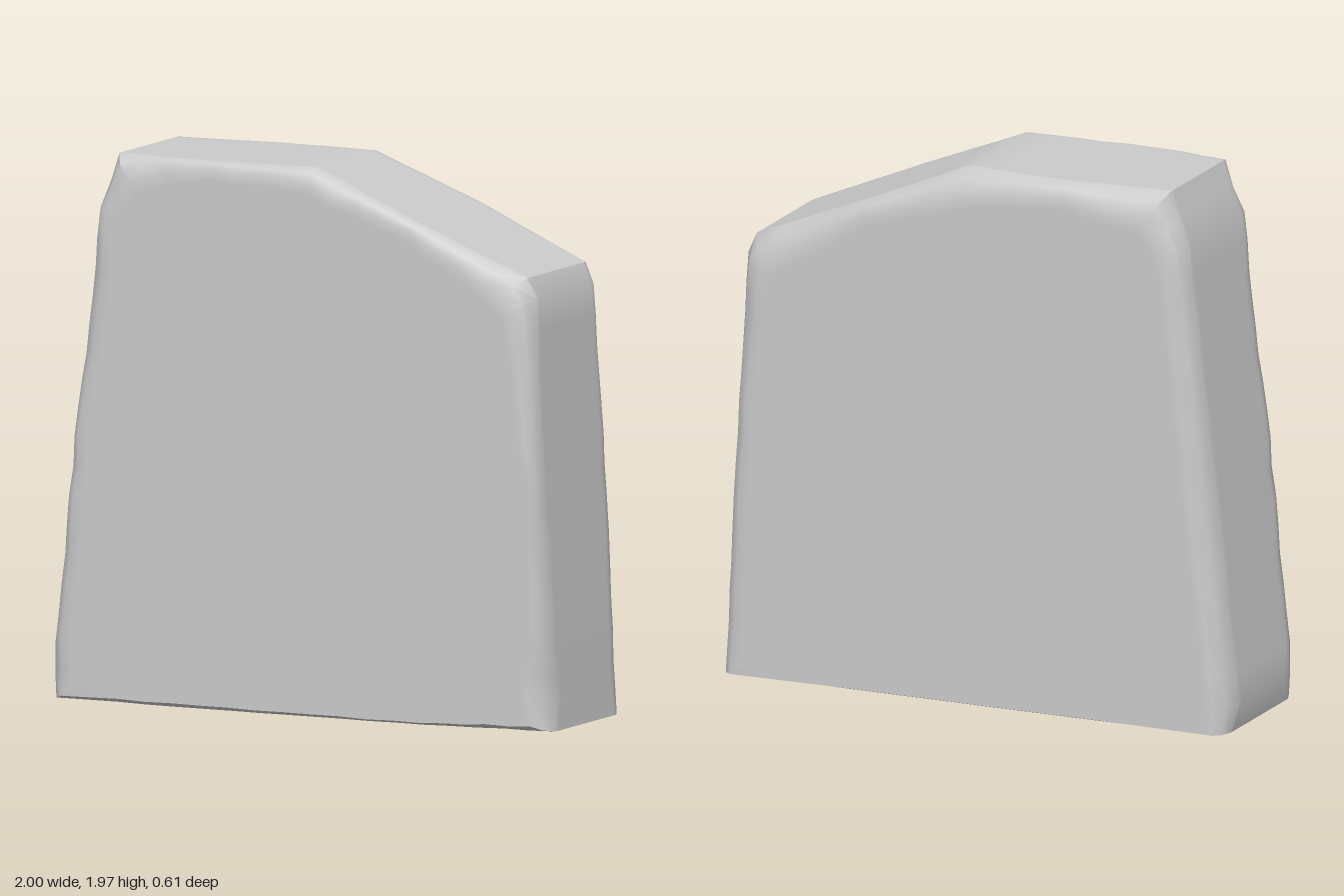
import * as THREE from 'three';
import { toCreasedNormals } from 'three/addons/utils/BufferGeometryUtils.js';

const HALF = 0.303; // half thickness of the slab

// Outline corners, counter-clockwise: x, y,
// front bevel (dx, dy, depth), back bevel (dx, dy, depth)
const CORNERS = [
  [-0.98, 0, 0.05, 0.02, 0.07, 0.04, 0, 0.06],
  [-0.5, 0, 0, 0.015, 0.03, 0, 0.003, 0.01],
  [0.5, 0, 0, 0.008, 0.02, 0, 0.003, 0.01],
  [0.995, 0, -0.07, 0.025, 0.08, -0.04, 0, 0.06],
  [0.985, 0.3, -0.05, 0, 0.09, -0.05, 0, 0.07],
  [0.955, 0.9, -0.03, 0, 0.06, -0.05, 0, 0.07],
  [0.92, 1.55, -0.06, -0.04, 0.07, -0.08, -0.05, 0.08],
  [0.885, 1.625, -0.07, -0.07, 0.06, -0.08, -0.09, 0.07],
  [0.45, 1.808, -0.01, -0.03, 0.03, -0.02, -0.05, 0.04],
  [0.05, 1.973, -0.01, -0.06, 0.06, -0.01, -0.09, 0.07],
  [-0.35, 1.973, 0, -0.02, 0.03, 0, -0.06, 0.05],
  [-0.74, 1.973, 0.06, -0.08, 0.06, 0.07, -0.1, 0.07],
  [-0.81, 1.78, 0.06, -0.03, 0.08, 0.07, -0.03, 0.08],
  [-0.905, 0.95, 0.04, 0, 0.07, 0.06, 0, 0.08],
  [-1, 0.1, 0.06, 0.01, 0.09, 0.06, 0, 0.09],
];

// Subdivides the outline and roughens the bevel sizes like worn stone
function sampleOutline() {
  let seed = 7;
  const random = () => (seed = (seed * 16807) % 2147483647) / 2147483647;
  const points = [];
  CORNERS.forEach((a, i) => {
    const b = CORNERS[(i + 1) % CORNERS.length];
    const n = Math.max(1, Math.round(Math.hypot(b[0] - a[0], b[1] - a[1]) / 0.11));
    for (let k = 0; k < n; k++) {
      const p = a.map((v, j) => v + (b[j] - v) * k / n);
      const front = 0.8 + 0.4 * random();
      const back = 0.9 + 0.2 * random();
      for (let j = 2; j < 5; j++) p[j] *= front;
      for (let j = 5; j < 8; j++) p[j] *= back;
      points.push(p);
    }
  });
  return points;
}

// Half of the rings: flat face border, face edge, rounded bevel, wall
function bevelRings(outline, side) {
  const o = side > 0 ? 2 : 5;
  const ring = (inset, drop, scale = 1) => outline.map((p) => [
    (p[0] + p[o] * inset) * scale,
    0.9 + (p[1] + p[o + 1] * inset - 0.9) * scale,
    side * (HALF - p[o + 2] * drop),
  ]);
  return [ring(1, 0, 0.96), ring(1, 0), ring(0.37, 0.3), ring(0, 1), ring(0, 1.3)];
}

function slabGeometry() {
  const outline = sampleOutline();
  const n = outline.length;
  const rings = [...bevelRings(outline, 1), ...bevelRings(outline, -1).reverse()];
  const positions = rings.flat(2);
  const index = [];
  for (let r = 0; r < rings.length - 1; r++) {
    for (let i = 0; i < n; i++) {
      const j = (i + 1) % n;
      const a = r * n + i, b = r * n + j, c = a + n, d = b + n;
      index.push(a, c, b, b, c, d);
    }
  }
  // Flat front and back faces
  const front = positions.length / 3, back = front + 1;
  positions.push(0, 0.9, HALF, 0, 0.9, -HALF);
  const last = (rings.length - 1) * n;
  for (let i = 0; i < n; i++) {
    const j = (i + 1) % n;
    index.push(front, i, j, back, last + j, last + i);
  }
  const geometry = new THREE.BufferGeometry();
  geometry.setAttribute('position', new THREE.Float32BufferAttribute(positions, 3));
  geometry.setIndex(index);
  return toCreasedNormals(geometry, 0.7);
}

export function createModel() {
  const model = new THREE.Group();
  model.name = 'stone';
  const slab = new THREE.Mesh(slabGeometry(), new THREE.MeshStandardMaterial({ color: 0xcccccc }));
  slab.name = 'stoneSlab';
  model.add(slab);
  return model;
}
